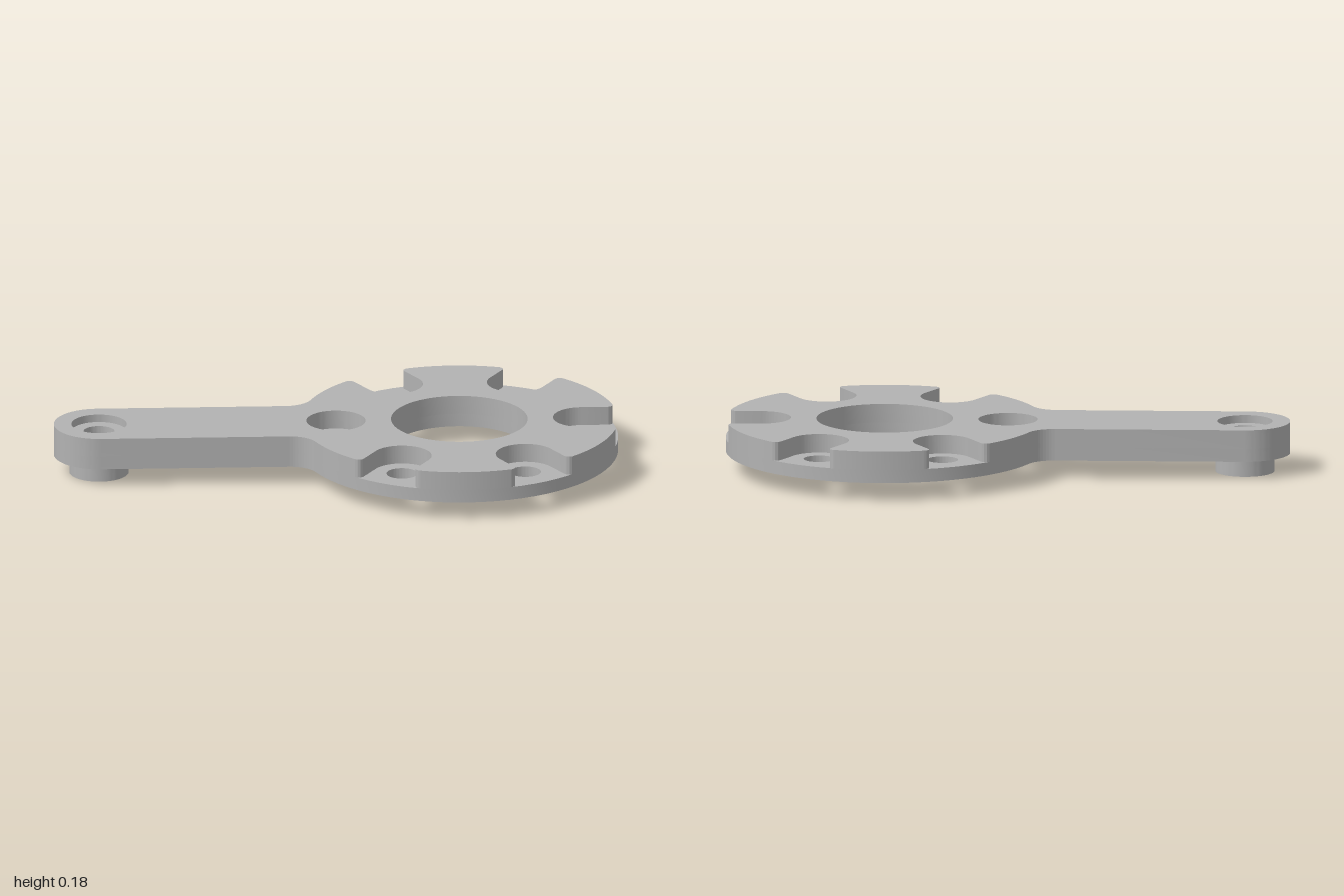
import * as THREE from 'three';
import { toCreasedNormals } from 'three/addons/utils/BufferGeometryUtils.js';

const CX = 0.437, R = 0.563;              // disc centre and radius
const PITCH = 0.437, BORE = 0.055, POCKET = 0.105;
const END_X = -0.84, ARM = 0.16;          // arm end centre and half width
const FILLET = 0.1, LIP = 0.02;           // arm-to-disc and slot mouth roundings
const BOTTOM = 0.066, FLOOR = 0.113, TOP = 0.18;

const polar = (r, a) => [CX + r * Math.cos(a), r * Math.sin(a)];

function circle(x, y, r) {
  return new THREE.Path().absarc(x, y, r, 0, Math.PI * 2, false);
}

// Disc with arm; slots are the angles at which open pockets cut the rim
function outline(slots) {
  const fz = ARM + FILLET;
  const fx = Math.sqrt((R + FILLET) ** 2 - fz ** 2);
  const a = Math.atan2(fz, fx);
  const s = new THREE.Shape();
  let from = a - Math.PI;
  const half = Math.PI / 2;
  const d = Math.asin((POCKET + LIP) / (R - LIP));
  for (const t of slots) {
    s.absarc(CX, 0, R, from, t - d, false);
    s.absarc(...polar(R - LIP, t - d), LIP, t - d, t + half, false);
    s.absarc(...polar(PITCH, t), POCKET, t - half, t + half, true);
    s.absarc(...polar(R - LIP, t + d), LIP, t - half, t + d, false);
    from = t + d;
  }
  s.absarc(CX, 0, R, from, Math.PI - a, false);
  s.absarc(CX - fx, fz, FILLET, -a, -half, true);
  s.absarc(END_X, 0, ARM, half, 3 * half, false);
  s.absarc(CX - fx, -fz, FILLET, half, a, true);
  return s;
}

// Extrude a plan shape between two heights
function slab(name, shape, y0, y1, material) {
  const flat = new THREE.ExtrudeGeometry(shape, { depth: y1 - y0, bevelEnabled: false, curveSegments: 32 });
  flat.rotateX(-Math.PI / 2);
  flat.translate(0, y0, 0);
  const mesh = new THREE.Mesh(toCreasedNormals(flat, 0.5), material);
  mesh.name = name;
  return mesh;
}

function ring(r) {
  const s = new THREE.Shape().absarc(END_X, 0, r, 0, Math.PI * 2, false);
  s.holes.push(circle(END_X, 0, BORE));
  return s;
}

export function createModel() {
  const group = new THREE.Group();
  group.name = 'flangedArm';
  const grey = new THREE.MeshStandardMaterial({ color: 0xb2b2b2 });
  grey.name = 'grey metal';

  const slots = [-2, -1, 0, 1, 2].map(i => i * Math.PI / 3);

  // Lower plate: full outline with all through holes
  const lower = outline([]);
  lower.holes.push(circle(CX, 0, 0.242), circle(END_X, 0, BORE));
  for (const t of [...slots, Math.PI]) lower.holes.push(circle(...polar(PITCH, t), BORE));
  group.add(slab('lowerPlate', lower, BOTTOM, FLOOR, grey));

  // Upper plate: five open pockets, one closed counterbore, arm end recess
  const upper = outline(slots);
  upper.holes.push(circle(CX, 0, 0.242), circle(END_X, 0, 0.098), circle(CX - PITCH, 0, POCKET));
  group.add(slab('upperPlate', upper, FLOOR, TOP, grey));

  // Shallow recess floor and the boss beneath the arm end
  group.add(slab('recessFloor', ring(0.098), FLOOR, 0.152, grey));
  group.add(slab('boss', ring(0.105), 0, BOTTOM, grey));
  return group;
}
